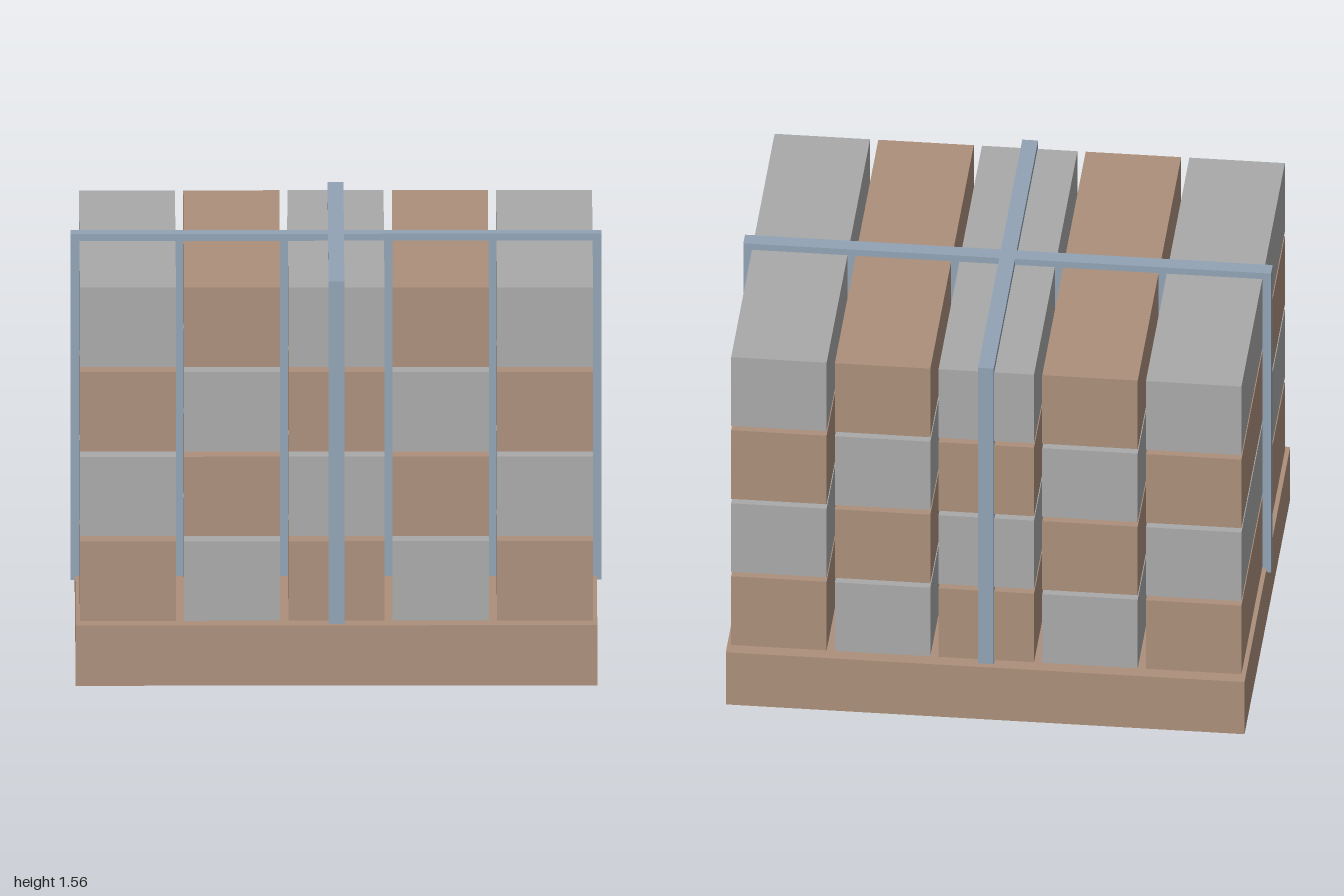
import * as THREE from 'three';

export function createModel() {
  const brown = new THREE.MeshStandardMaterial({ color: 0xab8f7b });
  brown.name = 'cardboard brown';
  const grey = new THREE.MeshStandardMaterial({ color: 0xa9a9a9 });
  grey.name = 'crate grey';
  const blue = new THREE.MeshStandardMaterial({ color: 0x91a3b5 });
  blue.name = 'strap blue';

  const model = new THREE.Group();
  model.name = 'strappedPallet';

  function addBox(name, material, size, position, parent = model) {
    const mesh = new THREE.Mesh(new THREE.BoxGeometry(...size), material);
    mesh.name = name;
    mesh.position.set(...position);
    parent.add(mesh);
  }

  // Solid base slab
  addBox('palletBase', brown, [1.966, 0.234, 1.639], [0, 0.117, 0]);

  // Long crates, stacked four high and five across in alternating colours
  const crates = new THREE.Group();
  crates.name = 'crates';
  model.add(crates);
  for (let row = 0; row < 4; row++) {
    for (let col = 0; col < 5; col++) {
      const material = (row + col) % 2 === 0 ? brown : grey;
      addBox(`crateRow${row + 1}Column${col + 1}`, material,
        [0.362, 0.308, 1.557],
        [(col - 2) * 0.393, 0.396 + row * 0.328, 0], crates);
    }
  }

  // Crossed straps, running as full panels through the stack
  addBox('strapSideToSide', blue, [2, 1.342, 0.06], [0, 0.89, 0]);
  addBox('strapFrontToBack', blue, [0.06, 1.342, 1.59], [0, 0.89, 0]);

  return model;
}
